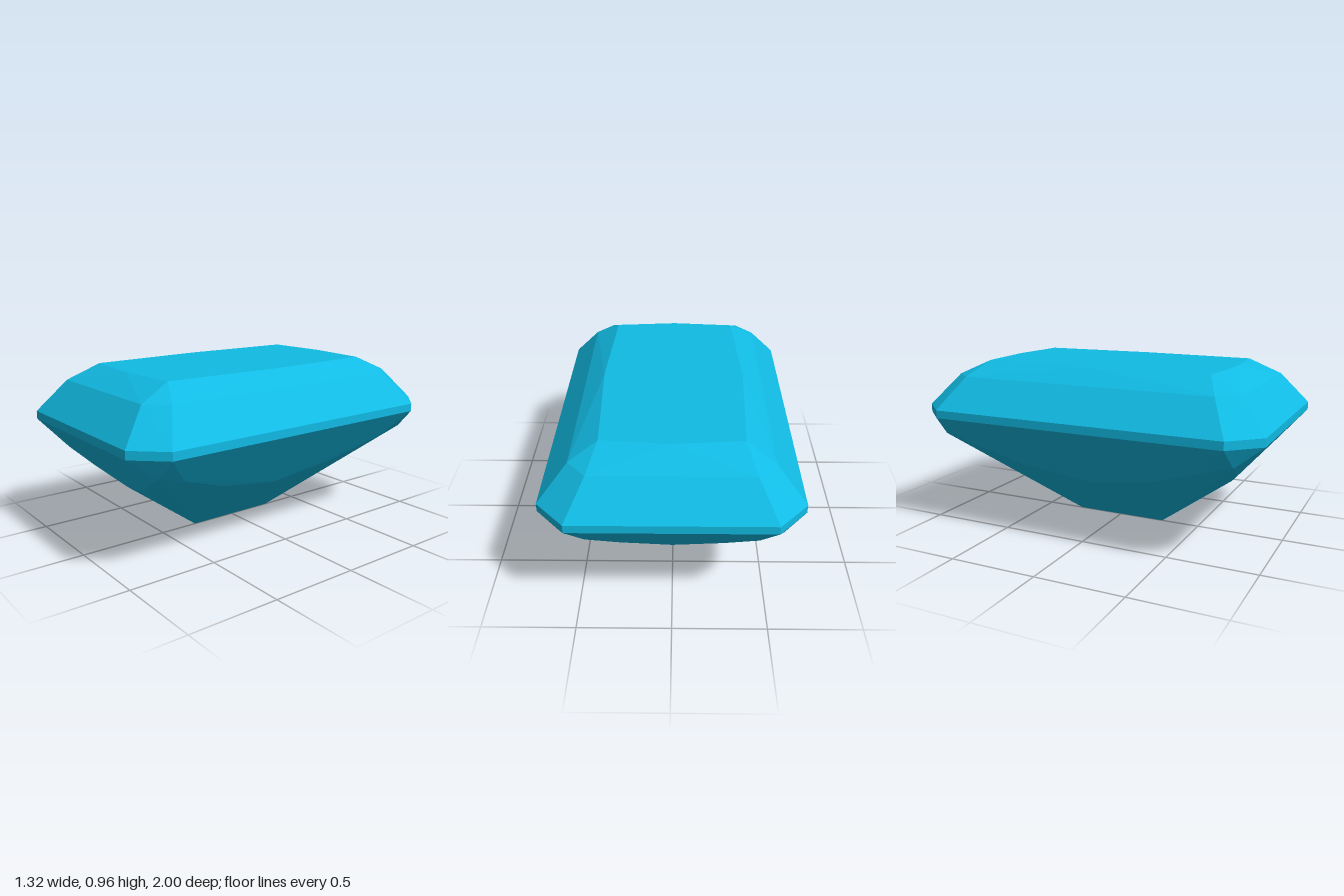
import * as THREE from 'three';
import { ConvexGeometry } from 'three/addons/geometries/ConvexGeometry.js';

// Mirror one quarter of the corner points across x and z, without duplicates
function mirrorQuarter(quarter) {
  const points = new Map();
  for (const [x, y, z] of quarter) {
    for (const sx of [1, -1]) {
      for (const sz of [1, -1]) {
        const p = new THREE.Vector3(x ? sx * x : 0, y, z ? sz * z : 0);
        points.set(p.toArray().join(), p);
      }
    }
  }
  return [...points.values()];
}

export function createModel() {
  const group = new THREE.Group();
  group.name = 'gem';

  // Flat table on top, slightly bowed on every side
  const table = [[0, 0.96, 0.7], [0.36, 0.96, 0.67], [0.39, 0.96, 0]];
  // Break between the two crown bevels
  const crown = [[0.41, 0.877, 0.85], [0.507, 0.877, 0.74]];
  // Upright band around the widest outline, with cut corners
  const girdle = [0.655, 0.7].flatMap((y) => [[0.51, y, 1], [0.66, y, 0.84]]);
  // Scalloped break of the pavilion: end facet, corner facet, side facet
  const pavilion = [
    [0, 0.32, 0.71], [0.27, 0.39, 0.77], [0.44, 0.48, 0.849],
    [0.555, 0.545, 0.86],
    [0.542, 0.5, 0.7], [0.458, 0.39, 0.4], [0.405, 0.32, 0],
  ];
  // Keel edge along the bottom with its small side points
  const keel = [[0, 0, 0.275], [0.065, 0.04, 0]];

  const stone = new THREE.Mesh(
    new ConvexGeometry(mirrorQuarter([...table, ...crown, ...girdle, ...pavilion, ...keel])),
    new THREE.MeshStandardMaterial({ color: 0x11bbe4, flatShading: true })
  );
  stone.name = 'cutStone';
  group.add(stone);
  return group;
}
